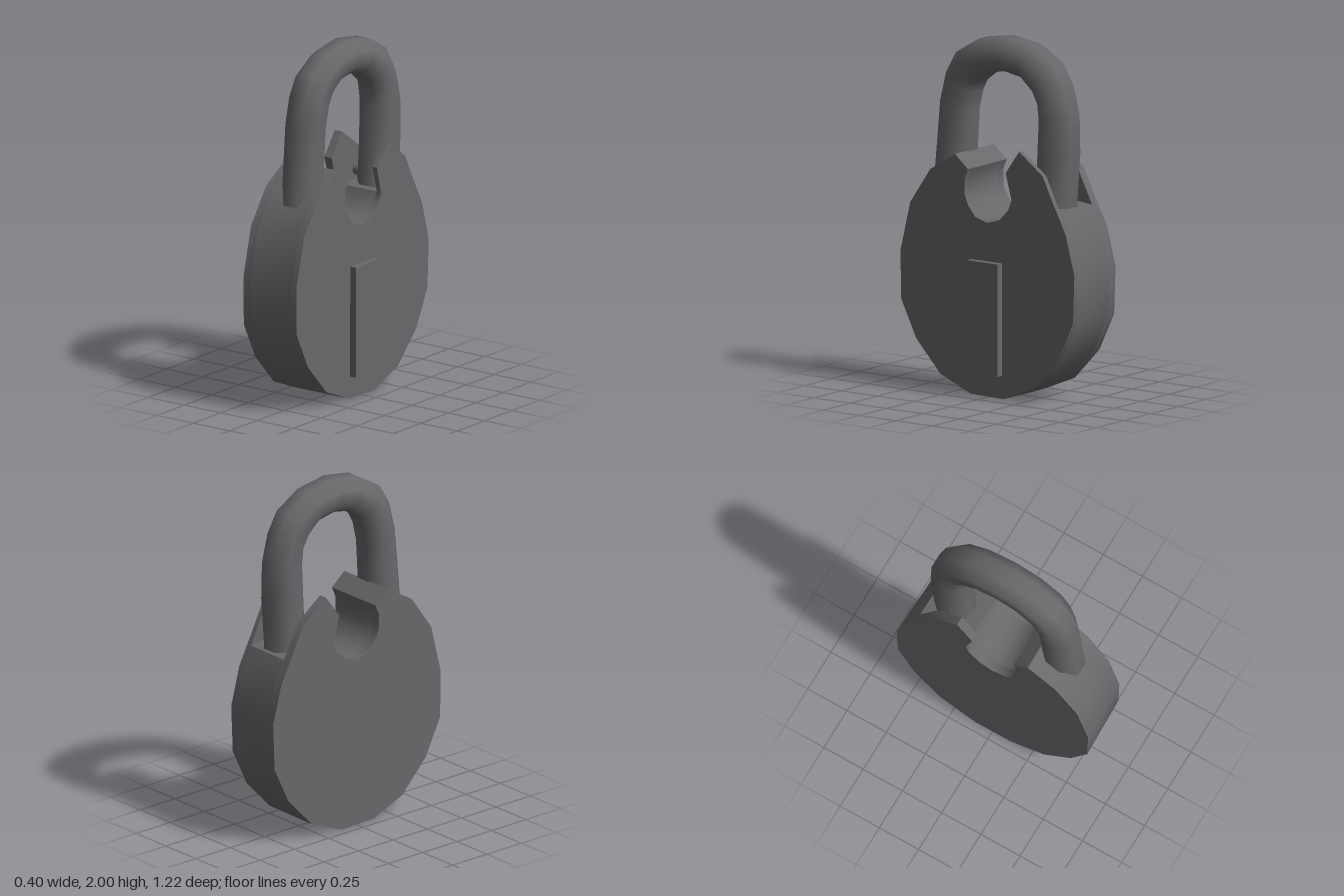
import * as THREE from 'three';
import { toCreasedNormals } from 'three/addons/utils/BufferGeometryUtils.js';

const iron = new THREE.MeshStandardMaterial({ color: 0x69676a });
iron.name = 'darkIron';

// Outlines are lists of [z, y]; they are extruded along x.
const notch = [[0.135, 1.26], [0.16, 1.2], [0.16, 1.12], [0.135, 1.06], [0.085, 1.0],
  [0, 0.975], [-0.085, 1.0], [-0.145, 1.06], [-0.17, 1.12]];
const frontRim = [[-0.11, 0], [0.12, 0.005], [0.33, 0.09], [0.5, 0.27], [0.605, 0.48],
  [0.61, 0.75], [0.54, 1.03], [0.4, 1.23], [0.225, 1.335]];
const backRim = [[-0.55, 0.97], [-0.61, 0.75], [-0.6, 0.48], [-0.5, 0.27], [-0.33, 0.09]];
const cheekOutline = [...frontRim, ...notch, [-0.13, 1.27], [-0.225, 1.4], [-0.39, 1.28],
  [-0.46, 1.14], ...backRim];
const coreOutline = [...frontRim, ...notch, [-0.49, 1.085], ...backRim];

const toPoints = (pts) => pts.map(([z, y]) => new THREE.Vector2(-z, y));

function extrudeX(outline, x0, x1, hole) {
  const shape = new THREE.Shape(toPoints(outline));
  if (hole) shape.holes.push(new THREE.Path(toPoints(hole)));
  const geo = new THREE.ExtrudeGeometry(shape, { depth: x1 - x0, bevelEnabled: false });
  return geo.rotateY(Math.PI / 2).translate(x0, 0, 0);
}

// The case narrows slightly towards the keyhole side, whose face leans a little.
function taper(geo) {
  const p = geo.attributes.position;
  for (let i = 0; i < p.count; i++) {
    const x = p.getX(i), y = p.getY(i), z = p.getZ(i);
    const t = (x + 0.2) / 0.36;
    p.setX(i, x + t * (0.004 * (y - 0.7) - 0.006 * z));
    p.setZ(i, z * (1 - 0.018 * t));
  }
  geo.computeVertexNormals();
  return toCreasedNormals(geo, 0.7);
}

// Shackle from octagonal rings, each spanning an outer and an inner point.
function shackleGeometry() {
  const outer = [[0.46, 1.0], [0.45, 1.17], [0.41, 1.6], [0.37, 1.76], [0.3, 1.88], [0.15, 1.97],
    [-0.03, 2], [-0.22, 1.97], [-0.37, 1.88], [-0.44, 1.76], [-0.48, 1.6], [-0.485, 1.39],
    [-0.46, 1.05]];
  const inner = [[0.23, 1.0], [0.225, 1.2], [0.205, 1.56], [0.18, 1.67], [0.15, 1.73], [0.07, 1.79],
    [-0.03, 1.81], [-0.14, 1.79], [-0.22, 1.72], [-0.255, 1.65], [-0.265, 1.56], [-0.255, 1.35],
    [-0.24, 1.05]];
  const sides = 8, pos = [], index = [];
  outer.forEach(([oz, oy], i) => {
    const [iz, iy] = inner[i];
    for (let j = 0; j < sides; j++) {
      const a = ((j + 0.5) / sides) * Math.PI * 2;
      const c = Math.cos(a) / Math.cos(Math.PI / sides) / 2;
      pos.push(0.115 * Math.sin(a), (oy + iy) / 2 + (oy - iy) * c, (oz + iz) / 2 + (oz - iz) * c);
      if (i < outer.length - 1) {
        const k = i * sides, n = (j + 1) % sides;
        index.push(k + j, k + n, k + sides + n, k + j, k + sides + n, k + sides + j);
      }
    }
  });
  const geo = new THREE.BufferGeometry();
  geo.setAttribute('position', new THREE.Float32BufferAttribute(pos, 3));
  geo.setIndex(index);
  geo.computeVertexNormals();
  return geo;
}

const rect = (z0, z1, y0, y1) => [[z0, y0], [z1, y0], [z1, y1], [z0, y1]];

export function createModel() {
  const group = new THREE.Group();
  group.name = 'padlock';
  const add = (name, geo) => {
    const mesh = new THREE.Mesh(geo, iron);
    mesh.name = name;
    group.add(mesh);
    return mesh;
  };

  // Case: a core with a slot at the back, between two full cheeks
  add('caseCore', taper(extrudeX(coreOutline, -0.15, 0.13)));
  add('rightCheek', taper(extrudeX(cheekOutline, -0.2, -0.15)));
  add('leftCheek', taper(extrudeX(cheekOutline, 0.13, 0.16)));

  // Keyhole cover with an open window
  add('keyholePlate', extrudeX(rect(-0.1, 0.11, 0.13, 0.76), 0.15, 0.2,
    rect(-0.055, 0.075, 0.165, 0.57)));

  // Shackle and its hinge pin
  add('shackle', shackleGeometry());
  const pin = add('hingePin', new THREE.CylinderGeometry(0.035, 0.035, 0.3, 10));
  pin.rotation.z = Math.PI / 2;
  pin.position.set(-0.01, 1.16, -0.355);

  return group;
}
